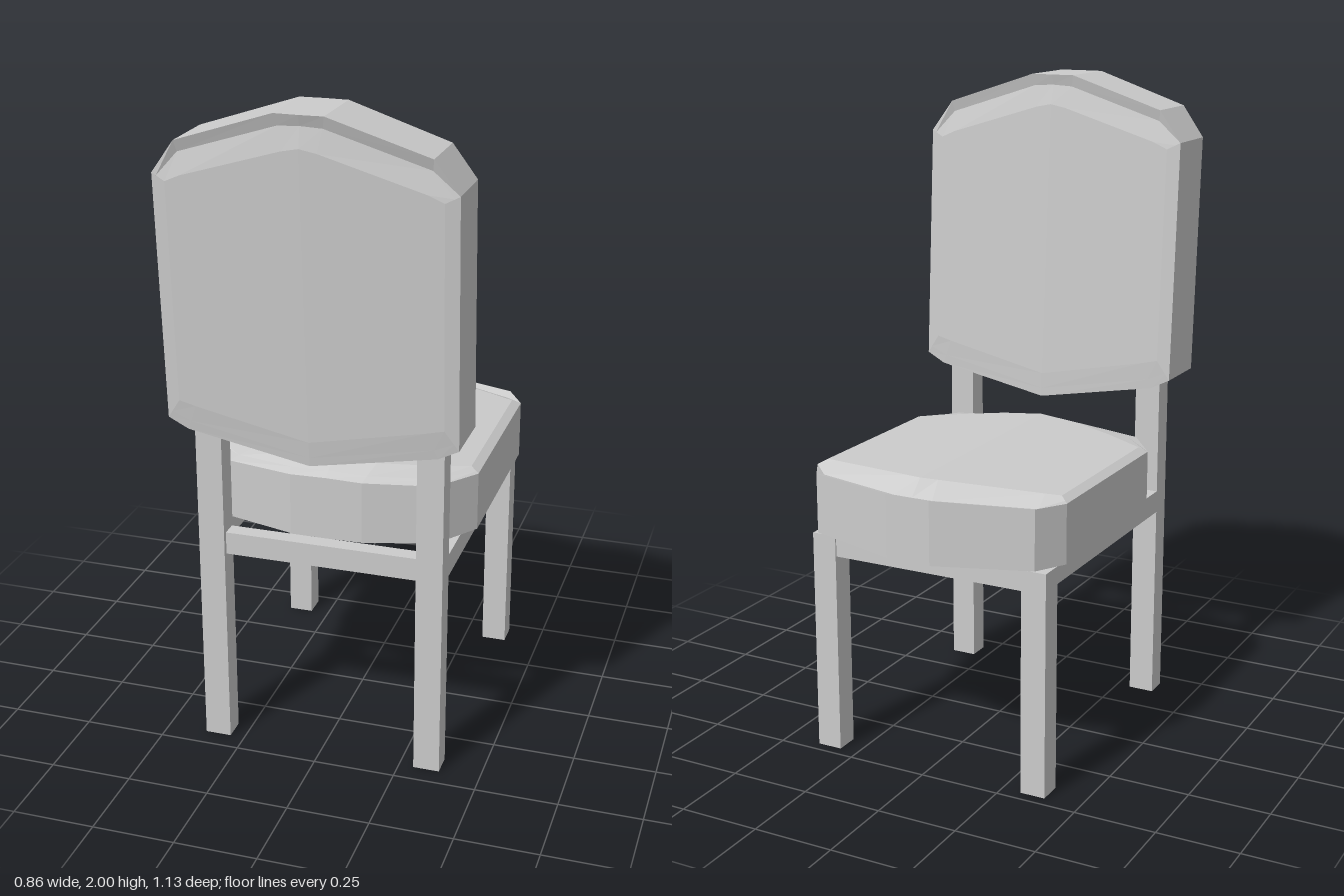
import * as THREE from 'three';

const material = new THREE.MeshStandardMaterial({ color: 0xcccccc, flatShading: true, side: THREE.DoubleSide });

function add(group, name, geometry) {
  const mesh = new THREE.Mesh(geometry, material);
  mesh.name = name;
  group.add(mesh);
}

// Box given by its lower and upper corners
function box(group, name, [x0, y0, z0], [x1, y1, z1]) {
  const g = new THREE.BoxGeometry(x1 - x0, y1 - y0, z1 - z0);
  g.translate((x0 + x1) / 2, (y0 + y1) / 2, (z0 + z1) / 2);
  add(group, name, g);
}

// Faceted cushion: half outlines (u, v) run from top centre to bottom centre and are mirrored.
// edge, front and back are [thickness at the sides, extra thickness at the centre].
function cushion(outer, inner, { edge, front, back }, place) {
  const width = outer.reduce((m, p) => Math.max(m, p[0]), 0);
  const mirror = (half) => [...half, ...half.slice(1, -1).reverse().map(([u, v]) => [-u, v])];
  const out = mirror(outer), inn = mirror(inner), n = out.length;
  const depth = ([side, bulge], u) => side + bulge * (1 - Math.abs(u) / width);

  const rim = (sign) => out.map(([u, v]) => [u, v, sign * depth(edge, u)]);
  const panel = (sign, d) => inn.map(([u, v]) => [u, v, sign * depth(d, u)]);
  // Shallow groove along the arched end, flush with the bevel elsewhere
  const groove = (sign, a, b) => a.map((p, i) => {
    const arched = i < 3 || i > n - 3;
    const q = p.map((c, k) => c + (b[i][k] - c) * 0.35);
    if (arched) q[2] = p[2] - sign * 0.01;
    return q;
  });

  const rimB = rim(-1), rimF = rim(1), panB = panel(-1, back), panF = panel(1, front);
  const rings = [panB, groove(-1, rimB, panB), rimB, rimF, groove(1, rimF, panF), panF];
  const index = [];
  for (let k = 0; k < rings.length - 1; k++) {
    for (let i = 0; i < n; i++) {
      const j = (i + 1) % n, a = k * n, b = a + n;
      index.push(a + i, b + i, a + j, b + i, b + j, a + j);
    }
  }
  const last = (rings.length - 1) * n;
  for (let i = 1; i < n - 1; i++) index.push(0, i, i + 1, last, last + i + 1, last + i);

  const g = new THREE.BufferGeometry();
  const points = rings.flat().flatMap((p) => place(...p));
  g.setAttribute('position', new THREE.Float32BufferAttribute(points, 3));
  g.setIndex(index);
  const flat = g.toNonIndexed();
  flat.computeVertexNormals();
  return flat;
}

export function createModel() {
  const chair = new THREE.Group();
  chair.name = 'chair';

  // Legs and side rails
  for (const s of [-1, 1]) {
    const side = s > 0 ? 'left' : 'right';
    const span = (a, b) => (s > 0 ? [a, b] : [-b, -a]);
    const [r0, r1] = span(0.295, 0.375);
    const [f0, f1] = span(0.31, 0.388);
    const [m0, m1] = span(0.325, 0.375);
    box(chair, side + 'BackLeg', [r0, 0, 0.37], [r1, 1.09, 0.44]);
    box(chair, side + 'FrontLeg', [f0, 0, -0.465], [f1, 0.69, -0.39]);
    box(chair, side + 'SideRail', [m0, 0.625, -0.4], [m1, 0.695, 0.38]);
  }

  // Cross rails
  box(chair, 'backRail', [-0.3, 0.625, 0.375], [0.3, 0.695, 0.425]);
  box(chair, 'frontRail', [-0.32, 0.625, -0.46], [0.32, 0.69, -0.41]);

  // Seat cushion, lying flat with its arched end to the fore
  add(chair, 'seat', cushion(
    [[0, 0.565], [0.07, 0.565], [0.36, 0.48], [0.415, 0.39], [0.415, -0.19], [0.32, -0.32], [0.11, -0.37], [0, -0.37]],
    [[0, 0.49], [0.05, 0.475], [0.345, 0.385], [0.39, 0.37], [0.39, -0.175], [0.26, -0.235], [0.13, -0.28], [0, -0.29]],
    { edge: [0.09, 0.008], front: [0.103, 0.032], back: [0.095, 0.01] },
    (u, v, w) => [u, 0.79 + w, -v]));

  // Backrest cushion, leaning slightly away from the seat
  add(chair, 'backrest', cushion(
    [[0, 2], [0.07, 2], [0.36, 1.905], [0.43, 1.81], [0.43, 1.08], [0.37, 1.05], [0, 0.985]],
    [[0, 1.91], [0.05, 1.9], [0.345, 1.81], [0.39, 1.79], [0.39, 1.14], [0.34, 1.128], [0, 1.06]],
    { edge: [0.093, 0.016], front: [0.1, 0.013], back: [0.1, 0.013] },
    (u, v, w) => [u, v, 0.405 + 0.06 * (v - 1.08) + w]));

  return chair;
}
